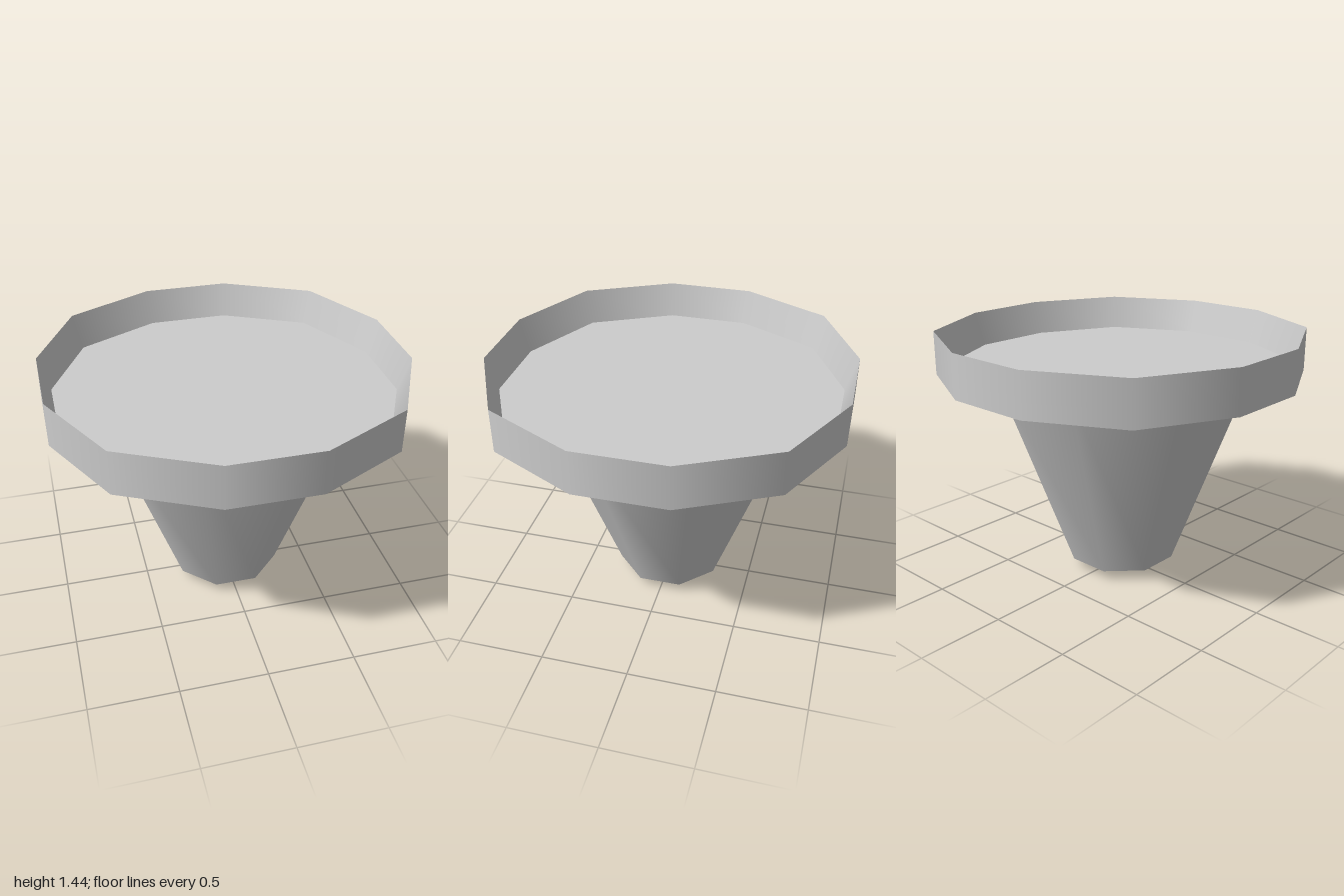
import * as THREE from 'three';

const material = new THREE.MeshStandardMaterial({ color: 0xcccccc, side: THREE.DoubleSide });

// Corners of the twelve-sided rim, as factors of its half width
const quadrant = [[0.25, 1], [0.75, 0.75], [1, 0.25]];
const rimCorners = [];
for (let q = 0; q < 4; q++) {
  for (const [x, z] of quadrant) {
    rimCorners.push([[x, z], [z, -x], [-x, -z], [-z, x]][q]);
  }
}

// Smooth around the axis, sharp between profile segments
function addRings(parent, names, profile, sides, start, corners) {
  for (let i = 0; i < profile.length - 1; i++) {
    const points = [profile[i], profile[i + 1]].map(([r, y]) => new THREE.Vector2(r, y));
    const geometry = new THREE.LatheGeometry(points, sides, start);
    if (corners) {
      const pos = geometry.attributes.position;
      for (let v = 0; v < pos.count; v++) {
        const r = points[v % 2].x;
        const [x, z] = corners[Math.floor(v / 2) % sides];
        pos.setX(v, x * r);
        pos.setZ(v, z * r);
      }
    }
    const mesh = new THREE.Mesh(geometry, material);
    mesh.name = names[i];
    parent.add(mesh);
  }
}

export function createModel() {
  const model = new THREE.Group();
  model.name = 'taperedPedestal';

  // Shallow dish with an upright rim
  const dish = new THREE.Group();
  dish.name = 'dish';
  addRings(dish,
    ['dishUnderside', 'lowerLip', 'rimOutside', 'rimInside', 'dishFloor'],
    [[0, 1.23], [0.94, 1.23], [1, 1.19], [1, 1.44], [0.94, 1.245], [0, 1.245]],
    12, Math.PI / 12, rimCorners);
  model.add(dish);

  // Eight-sided tapered body with a bevelled foot and a small recess below
  const body = new THREE.Group();
  body.name = 'body';
  const k = 1 / Math.cos(Math.PI / 8); // half width to corner radius
  addRings(body,
    ['recessTop', 'recessWall', 'footRing', 'footBevel', 'taperedWall'],
    [[0, 0.05], [0.09, 0.05], [0.12, 0.01], [0.175, 0], [0.295, 0.06], [0.695, 1.235]]
      .map(([r, y]) => [r * k, y]),
    8, Math.PI / 8);
  model.add(body);

  return model;
}
